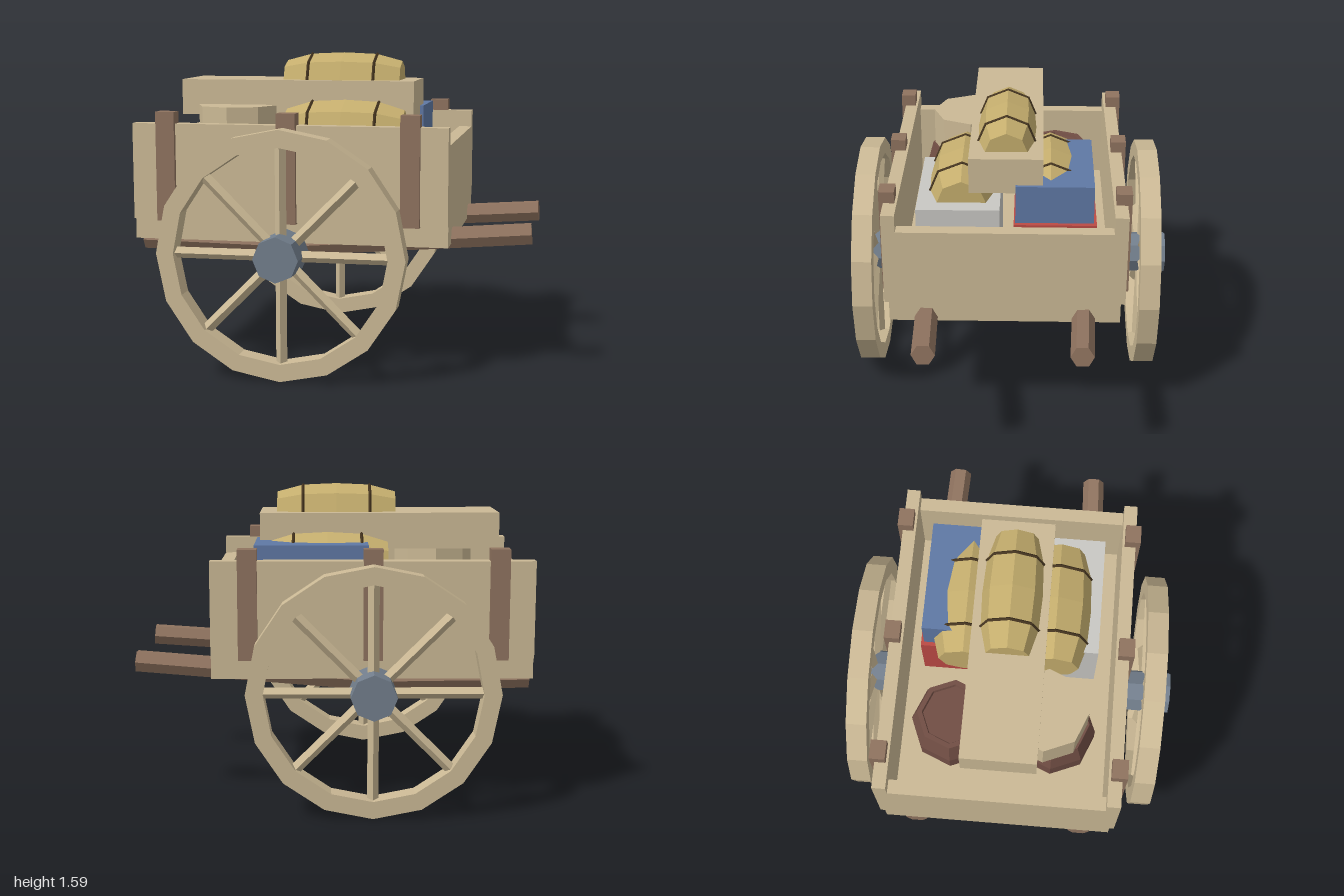
import * as THREE from 'three';

const mat = (name, color) => {
  const m = new THREE.MeshStandardMaterial({ color });
  m.name = name;
  return m;
};

export function createModel() {
  const root = new THREE.Group();
  root.name = 'loadedHandcart';

  const wood = mat('paleWood', 0xcbb995);
  const darkWood = mat('brownWood', 0x8f735f);
  const iron = mat('hubIron', 0x727e8c);
  const cloth = mat('sackCloth', 0xc4ad6d);
  const rope = mat('rope', 0x44341f);
  const barrelWood = mat('barrelWood', 0x714e44);
  const blue = mat('bluePaint', 0x5f78a4);
  const red = mat('redPaint', 0xbb4a44);
  const grey = mat('paleGrey', 0xc8c7c3);

  // Adds a mesh with faceted normals
  const add = (name, geo, material, parent = root) => {
    const flat = geo.index ? geo.toNonIndexed() : geo;
    flat.computeVertexNormals();
    const mesh = new THREE.Mesh(flat, material);
    mesh.name = name;
    parent.add(mesh);
    return mesh;
  };

  // Box given by its limits on each axis
  const box = (name, material, x0, x1, y0, y1, z0, z1) => {
    const mesh = add(name, new THREE.BoxGeometry(x1 - x0, y1 - y0, z1 - z0), material);
    mesh.position.set((x0 + x1) / 2, (y0 + y1) / 2, (z0 + z1) / 2);
    return mesh;
  };

  // Straight pole between two points
  const pole = (name, material, a, b, radius, sides, parent = root) => {
    const dir = b.clone().sub(a);
    const mesh = add(name, new THREE.CylinderGeometry(radius, radius, dir.length(), sides), material, parent);
    mesh.position.copy(a).add(b).multiplyScalar(0.5);
    mesh.quaternion.setFromUnitVectors(new THREE.Vector3(0, 1, 0), dir.normalize());
    return mesh;
  };

  // Cart body
  box('floor', wood, -0.93, 0.53, 0.66, 0.775, -0.58, 0.58);
  box('backEndPanel', wood, -1, -0.93, 0.66, 1.16, -0.58, 0.58);
  box('frontEndPanel', wood, 0.53, 0.6, 0.66, 1.16, -0.58, 0.58);
  for (const s of [-1, 1]) {
    const side = s > 0 ? 'near' : 'far';
    const z = (a, b) => (s > 0 ? [a, b] : [-b, -a]);
    box(side + 'SidePanel', wood, -1, 0.6, 0.765, 1.25, ...z(0.535, 0.603));
    for (const x of [-0.823, -0.203, 0.415]) {
      box(side + 'Post', darkWood, x - 0.048, x + 0.048, 0.76, 1.31, ...z(0.547, 0.625));
    }
  }

  // Bent pull shafts
  for (const s of [-1, 1]) {
    const bend = new THREE.Vector3(-0.2, 0.622, s * 0.425);
    pole('shaftRear', darkWood, new THREE.Vector3(-1, 0.632, s * 0.425), bend, 0.055, 6);
    pole('shaftHandle', darkWood, bend, new THREE.Vector3(0.995, 0.712, s * 0.38), 0.058, 6);
  }

  // Axle and wheels
  const wheelY = 0.625;
  pole('axle', darkWood, new THREE.Vector3(-0.2, wheelY, -0.64), new THREE.Vector3(-0.2, wheelY, 0.64), 0.073, 6);

  const ring = (r, n) => Array.from({ length: n }, (_, i) => {
    const a = (i / n) * Math.PI * 2;
    return new THREE.Vector2(r * Math.cos(a), r * Math.sin(a));
  });
  for (const s of [-1, 1]) {
    const wheel = new THREE.Group();
    wheel.name = s > 0 ? 'nearWheel' : 'farWheel';
    wheel.position.set(-0.2, wheelY, s * 0.743);
    root.add(wheel);

    const rimShape = new THREE.Shape(ring(0.622, 16));
    rimShape.holes.push(new THREE.Path(ring(0.535, 16)));
    const rim = new THREE.ExtrudeGeometry(rimShape, { depth: 0.105, bevelEnabled: false });
    add('rim', rim.translate(0, 0, -0.0525), wood, wheel);

    for (let i = 0; i < 8; i++) {
      const a = (i / 8) * Math.PI * 2;
      const dir = new THREE.Vector3(Math.cos(a), Math.sin(a), 0);
      pole('spoke', wood, dir.clone().multiplyScalar(0.08), dir.clone().multiplyScalar(0.55), 0.028, 4, wheel);
    }
    add('hub', new THREE.CylinderGeometry(0.113, 0.113, 0.245, 8).rotateX(Math.PI / 2), iron, wheel);
  }

  // Crates
  box('longCrate', wood, -0.87, 0.37, 1.265, 1.45, -0.185, 0.185);
  box('greyCrate', grey, -0.205, 0.415, 0.775, 1.19, 0.03, 0.45);
  box('redCrate', red, -0.205, 0.415, 0.775, 1.11, -0.457, -0.04);
  box('blueCrate', blue, -0.185, 0.39, 1.11, 1.31, -0.442, -0.048);

  // Bulging barrels, one with a pale tub on top
  const barrelProfile = [[0, 0.775], [0.175, 0.775], [0.213, 0.9], [0.213, 1.0], [0.18, 1.12], [0.155, 1.12], [0.15, 1.105], [0, 1.105]]
    .map(([r, y]) => new THREE.Vector2(r, y));
  for (const z of [-0.258, 0.252]) {
    add('barrel', new THREE.LatheGeometry(barrelProfile, 8), barrelWood).position.set(-0.56, 0, z);
  }
  add('tub', new THREE.CylinderGeometry(0.21, 0.21, 0.21, 8), wood).position.set(-0.56, 1.215, 0.21);

  // Tied sacks lying along the cart
  const sack = (x, y, z, r) => {
    const group = new THREE.Group();
    group.name = 'sack';
    group.position.set(x, y, z);
    root.add(group);
    const profile = [[0, -0.31], [0.72, -0.31], [0.95, -0.175], [1, 0], [0.95, 0.175], [0.72, 0.31], [0, 0.31]]
      .map(([k, h]) => new THREE.Vector2(k * r, h));
    add('sackBody', new THREE.LatheGeometry(profile, 8).rotateZ(-Math.PI / 2), cloth, group);
    for (const h of [-0.175, 0.175]) {
      const tie = new THREE.TorusGeometry(r * 0.955, 0.008, 4, 8).rotateY(Math.PI / 2);
      add('tie', tie, rope, group).position.x = h;
    }
  };
  sack(-0.027, 1.436, 0, 0.155);
  sack(0.02, 1.175, 0.225, 0.18);
  sack(0.02, 1.175, -0.225, 0.18);

  return root;
}
